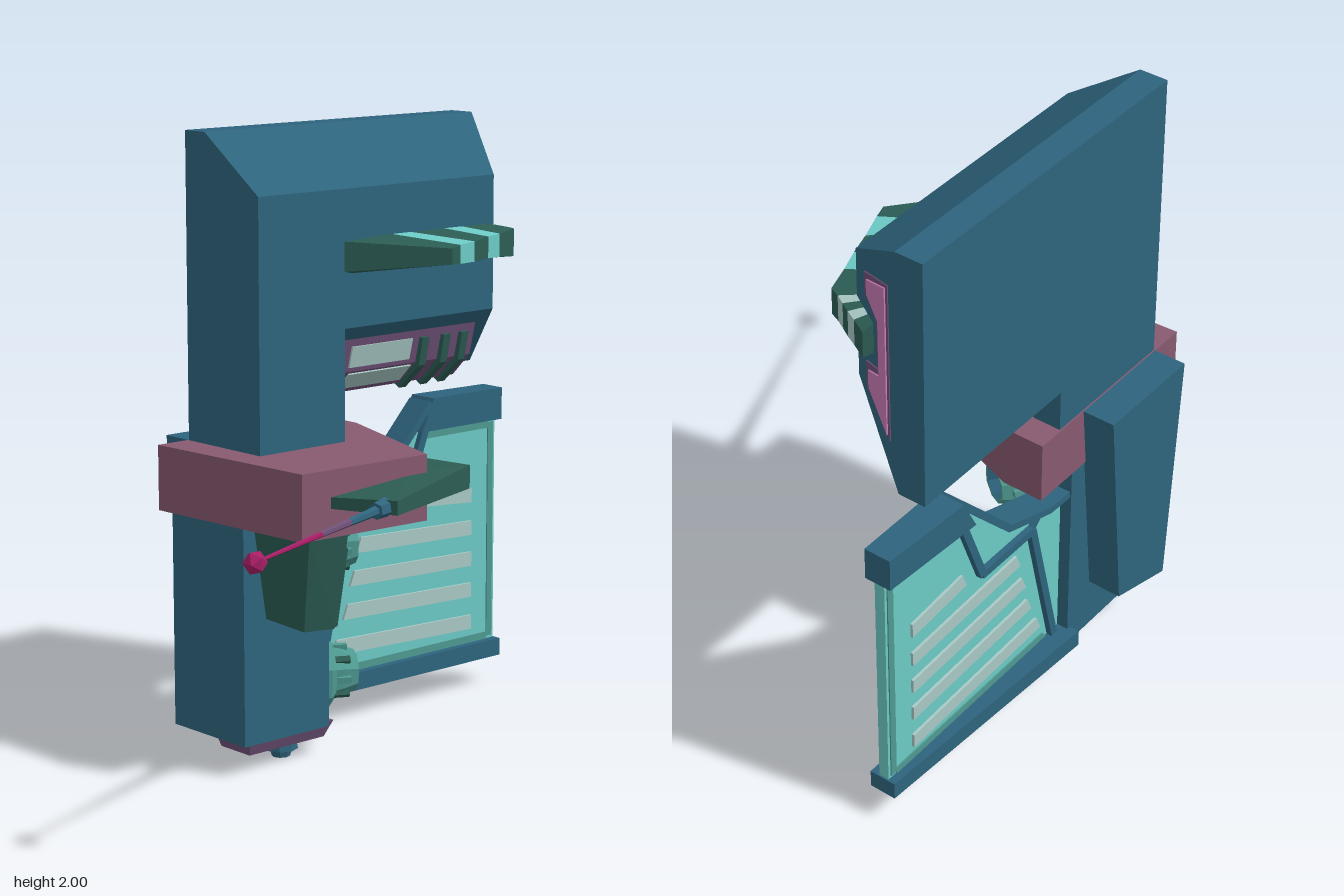
import * as THREE from 'three';

const mat = (name, color) => {
  const m = new THREE.MeshStandardMaterial({ color });
  m.name = name;
  return m;
};

export function createModel() {
  const blue = mat('steel blue', 0x2e647d), teal = mat('bright teal', 0x6ccac6);
  const slat = mat('pale slat', 0xa9c9c5), rose = mat('dusty rose', 0x885a70);
  const plum = mat('plum', 0x6e5078), pink = mat('pink', 0xc97ab5);
  const green = mat('dark green', 0x2c5d54), magenta = mat('magenta', 0xa81e66);
  const seaGreen = mat('sea green', 0x4f9a92);

  const model = new THREE.Group();
  const add = (name, geo, material, parent = model) => {
    const m = new THREE.Mesh(geo, material);
    m.name = name;
    parent.add(m);
    return m;
  };

  // Solid through matching cross-sections; `flat` gives the two axes used to fill the ends
  const loft = (sections, flat = [0, 1]) => {
    const tris = [], n = sections[0].length;
    const pts = sections[0].map(p => new THREE.Vector2(p[flat[0]], p[flat[1]]));
    const sign = Math.sign(THREE.ShapeUtils.area(pts));
    for (const f of THREE.ShapeUtils.triangulateShape(pts.slice(), [])) {
      const same = Math.sign(THREE.ShapeUtils.area(f.map(i => pts[i]))) === sign;
      const [a, b, c] = same ? f : [f[0], f[2], f[1]];
      const first = sections[0], last = sections[sections.length - 1];
      tris.push([first[a], first[c], first[b]], [last[a], last[b], last[c]]);
    }
    for (let s = 0; s < sections.length - 1; s++) {
      const p = sections[s], q = sections[s + 1];
      for (let i = 0; i < n; i++) {
        const j = (i + 1) % n;
        tris.push([p[i], p[j], q[j]], [p[i], q[j], q[i]]);
      }
    }
    // Turn the solid right side out
    let volume = 0;
    for (const [a, b, c] of tris) {
      volume += new THREE.Vector3(...a).dot(new THREE.Vector3(...b).cross(new THREE.Vector3(...c)));
    }
    if (volume < 0) tris.forEach(t => t.reverse());
    const g = new THREE.BufferGeometry();
    g.setAttribute('position', new THREE.Float32BufferAttribute(tris.flat(2), 3));
    g.computeVertexNormals();
    return g;
  };
  const alongZ = (poly, z0, z1) => loft([z0, z1].map(z => poly.map(([x, y]) => [x, y, z])));
  const alongY = (poly, y0, y1) => loft([y0, y1].map(y => poly.map(([x, z]) => [x, y, z])), [0, 2]);
  const alongX = (poly, x0, x1) => loft([x0, x1].map(x => poly.map(([z, y]) => [x, y, z])), [2, 1]);
  const bevelled = (front, back) => loft([
    front.map(([x, y]) => [x, y, -0.155]),
    back.map(([x, y]) => [x, y, -0.41]),
    back.map(([x, y]) => [x, y, -0.505])]);

  // Main housings with bevelled sides
  add('upperHousing', bevelled(
    [[-0.31, 1.0], [0.04, 1.0], [0.04, 1.38], [0.69, 1.38], [0.69, 1.82], [-0.31, 1.82]],
    [[-0.31, 1.0], [0.185, 1.0], [0.185, 1.16], [0.835, 1.16], [0.835, 2], [-0.31, 2]]), blue);
  add('lowerColumn', bevelled(
    [[-0.38, 0.1], [-0.03, 0.1], [-0.03, 0.83], [-0.38, 0.83]],
    [[-0.38, 0.1], [0.115, 0.1], [0.115, 0.83], [-0.38, 0.83]]), blue);
  add('backPack', alongZ([[-0.31, 1.02], [0.07, 1.02], [0, 0.28], [-0.25, 0.21]], -0.62, -0.5), blue);
  add('collar', alongY(
    [[-0.43, -0.51], [-0.395, 0.14], [0.095, 0.165], [0.28, -0.37], [0.28, -0.51]], 0.81, 1.02), rose);

  // Bracket-shaped inset on the sloping side of the upper housing
  const sidePlate = (name, poly, lift, material) => add(name, loft([-0.01, lift].map(d =>
    poly.map(([z, y]) => [0.69 + (-0.155 - z) * 0.56 + d, y, z])), [2, 1]), material);
  sidePlate('sideInsetRim', [[-0.215, 1.79], [-0.365, 1.855], [-0.365, 1.315], [-0.215, 1.39],
    [-0.215, 1.48], [-0.29, 1.51], [-0.29, 1.68], [-0.215, 1.72]], 0.006, plum);
  sidePlate('sideInset', [[-0.235, 1.78], [-0.352, 1.84], [-0.352, 1.33], [-0.235, 1.405],
    [-0.235, 1.465], [-0.305, 1.5], [-0.305, 1.69], [-0.235, 1.73]], 0.012, pink);

  // Horizontal fin in alternating bands: [outer x, outer z, inner x, inner z]
  const rim = [[0.04, -0.155, 0.05, -0.18], [0.28, 0.08, 0.2, -0.18], [0.335, 0.06, 0.23, -0.18],
    [0.43, 0.025, 0.31, -0.18], [0.52, -0.005, 0.46, -0.18], [0.6, -0.035, 0.54, -0.18],
    [0.7, -0.07, 0.65, -0.18], [0.715, -0.105, 0.66, -0.2], [0.73, -0.135, 0.67, -0.22],
    [0.745, -0.165, 0.68, -0.24], [0.76, -0.2, 0.69, -0.26], [0.785, -0.25, 0.71, -0.28]];
  const finSection = ([ox, oz, ix, iz], i) => {
    const lo = [1.56, 1.585, 1.58, 1.575, 1.575, 1.57, 1.56, 1.56, 1.555, 1.55, 1.545, 1.54][i];
    const hi = [1.655, 1.635, 1.64, 1.64, 1.645, 1.645, 1.65, 1.65, 1.645, 1.64, 1.635, 1.63][i];
    return [[ox, lo, oz], [ox, hi, oz], [ix, 1.665, iz], [ix, 1.55, iz]];
  };
  for (let i = 0; i < rim.length - 1; i++) {
    const band = i === 2 || i === 4 ? teal : i === 7 || i === 9 ? slat : green;
    add('finBand', loft([finSection(rim[i], i), finSection(rim[i + 1], i + 1)], [2, 1]), band);
  }

  // Vented lip under the upper housing
  const lip = (x0, x1, inset) => loft([x0, x1].map((x, i) => [[-0.195, 1.335], [-0.222, 1.225],
    [-0.3, 1.147], [-0.375, 1.165]].map(([z, y], k) => [x + (i === 0 && k > 1 ? inset : 0), y, z])), [2, 1]);
  add('lip', lip(0.045, 0.65, 0.07), plum);
  add('lipWindow', alongX([[-0.194, 1.31], [-0.212, 1.24], [-0.222, 1.24], [-0.204, 1.31]], 0.11, 0.37), slat);
  add('lipLowerWindow', alongX([[-0.226, 1.215], [-0.28, 1.161], [-0.285, 1.17], [-0.231, 1.224]], 0.12, 0.39), slat);
  add('lipEndWindow', alongX([[-0.212, 1.305], [-0.235, 1.23], [-0.3, 1.165], [-0.35, 1.175]], 0.645, 0.655), slat);
  for (const x of [0.42, 0.515, 0.595]) {
    add('lipTooth', alongX([[-0.185, 1.31], [-0.205, 1.215], [-0.3, 1.13], [-0.33, 1.15], [-0.23, 1.31]],
      x - 0.015, x + 0.015), green);
  }

  // Blade wrapped around the collar
  const blade = [[-0.29, 0.13], [-0.2, 0.35], [0.265, 0.18], [0.27, -0.29], [0.2, -0.29], [0.06, 0.12]];
  const low = [0.9, 0.9, 0.89, 0.905, 0.905, 0.89], high = [0.935, 0.945, 0.965, 0.945, 0.945, 0.965];
  add('collarBlade', loft([low, high].map(h => blade.map(([x, z], i) => [x, h[i], z])), [0, 2]), green);
  for (const [x, z] of [[0.185, -0.065], [0.215, -0.18]]) {
    add('collarTooth', alongX([[z - 0.035, 0.79], [z - 0.015, 0.87], [z + 0.015, 0.87], [z + 0.03, 0.79]],
      x - 0.025, x + 0.02), green);
  }

  // Antenna
  const from = new THREE.Vector3(-0.2, 0.92, 0.3), to = new THREE.Vector3(-0.95, 0.92, 0.585);
  const up = new THREE.Vector3(0, 1, 0), axis = to.clone().sub(from).normalize();
  const rod = (name, t0, t1, r0, r1, material) => {
    const a = from.clone().lerp(to, t0), b = from.clone().lerp(to, t1);
    const m = add(name, new THREE.CylinderGeometry(r1, r0, a.distanceTo(b), 6).toNonIndexed(), material);
    m.geometry.computeVertexNormals();
    m.position.copy(a.add(b).multiplyScalar(0.5));
    m.quaternion.setFromUnitVectors(up, axis);
  };
  rod('antennaSocket', 0, 0.09, 0.03, 0.026, blue);
  rod('antennaBase', 0.08, 0.3, 0.016, 0.012, blue);
  rod('antennaMiddle', 0.3, 0.52, 0.012, 0.009, plum);
  rod('antennaTip', 0.52, 1, 0.009, 0.005, magenta);
  const knob = add('antennaKnob', new THREE.IcosahedronGeometry(0.036, 0), magenta);
  knob.position.copy(to);

  // Hanging vent box on the front of the column
  add('ventBox', loft([
    [[-0.34, 0.82, -0.16], [-0.33, 0.82, 0.1], [-0.17, 0.82, 0.1], [-0.07, 0.82, -0.16]],
    [[-0.29, 0.5, -0.16], [-0.285, 0.49, 0.02], [-0.16, 0.48, 0.02], [-0.1, 0.48, -0.16]]], [0, 2]), green);
  // Points on the vent box's sloping side, k from front to back and y from bottom to top
  const ventPoint = (k, y, lift) => {
    const t = (y - 0.48) / 0.34, zf = 0.02 + 0.08 * t;
    const xf = -0.16 - 0.01 * t, xb = -0.1 + 0.03 * t;
    return [xf + (xb - xf) * k + lift, y, zf + (-0.16 - zf) * k];
  };
  const ventStrip = (name, k0, k1, y0, y1, lift, material) => add(name, loft([-0.01, lift].map(d =>
    [[k0, y0], [k1, y0], [k1, y1], [k0, y1]].map(([k, y]) => ventPoint(k, y, d))), [2, 1]), material);
  for (const k of [0.2, 0.65]) ventStrip('ventSlot', k, k + 0.17, 0.5, 0.7, 0.004, slat);
  for (const k of [0.08, 0.44, 0.86]) ventStrip('ventRib', k, k + 0.12, 0.48, 0.74, 0.02, green);

  // Round thrusters and a lamp on the column's sloping side
  const faceted = (profile, sides) => {
    const g = new THREE.LatheGeometry(profile.map(p => new THREE.Vector2(...p)), sides).toNonIndexed();
    g.computeVertexNormals();
    return g;
  };
  const outward = new THREE.Vector3(0.877, 0, 0.48);
  const mount = (name, y, z) => {
    const g = new THREE.Group();
    g.name = name;
    g.position.set(-0.03 + (-0.155 - z) * 0.57, y, z);
    g.quaternion.setFromUnitVectors(up, outward);
    model.add(g);
    return g;
  };
  for (const y of [0.66, 0.235]) {
    const g = mount('thruster', y, -0.3);
    add('thrusterFlange', faceted([[0.13, -0.01], [0.125, 0.02], [0.1, 0.04], [0.088, 0.04]], 8), seaGreen, g);
    add('thrusterBell', faceted([[0.095, 0.03], [0.085, 0.07], [0.066, 0.12], [0.055, 0.12]], 8), seaGreen, g);
    add('thrusterThroat', faceted([[0.056, 0.12], [0.025, 0.05], [0, 0.05]], 8), blue, g);
    for (let i = 0; i < 8; i++) {
      const a = (i + 0.5) * Math.PI / 4;
      const fin = add('thrusterFin', new THREE.BoxGeometry(0.02, 0.06, 0.02), i % 2 ? green : seaGreen, g);
      fin.position.set(Math.cos(a) * 0.082, 0.06, Math.sin(a) * 0.082);
      fin.rotation.y = -a;
    }
  }
  const lamp = mount('lamp', 0.455, -0.3);
  add('lampRing', faceted([[0.068, -0.01], [0.06, 0.02], [0.035, 0.035], [0, 0.035]], 6), plum, lamp);
  add('lampLens', faceted([[0.032, 0.03], [0.025, 0.042], [0, 0.042]], 6), pink, lamp);

  // Foot under the column
  const rect = (x0, x1, z0, z1, y) => [[x0, y, z0], [x1, y, z0], [x1, y, z1], [x0, y, z1]];
  add('foot', loft([rect(-0.335, 0.015, -0.365, -0.185, 0.105), rect(-0.32, -0.01, -0.345, -0.205, 0.05)], [0, 2]), plum);
  const nozzle = add('footNozzle', faceted([[0, 0], [0.03, 0], [0.035, 0.02], [0.055, 0.025], [0.05, 0.055]], 8), blue);
  nozzle.position.set(-0.14, 0, -0.265);

  // Side wing: plate, frame and slats
  add('wingPlate', alongZ([[0.1, 0.13], [0.975, 0.13], [0.975, 1.0], [0.64, 1.0], [0.42, 0.785],
    [0.2, 0.715], [0.1, 0.72]], -0.465, -0.43), teal);
  const bar = (name, poly) => add(name, loft([poly.map(([x, y]) => [x, y, -0.4]),
    poly.map(([x, y]) => [x, y, -0.545 + 0.055 * x])]), blue);
  bar('wingBottomBar', [[0.1, 0.1], [0.98, 0.1], [0.98, 0.16], [0.1, 0.16]]);
  bar('wingTopBar', [[0.605, 0.94], [0.98, 0.94], [0.98, 1.05], [0.66, 1.05]]);
  const strip = (name, path, w, z0, z1) => {
    for (let i = 0; i < path.length - 1; i++) {
      const [ax, ay] = path[i], [bx, by] = path[i + 1], l = Math.hypot(bx - ax, by - ay);
      const nx = -(by - ay) / l * w, ny = (bx - ax) / l * w;
      add(name, alongZ([[ax - nx, ay - ny], [bx - nx, by - ny], [bx + nx, by + ny], [ax + nx, ay + ny]], z0, z1), blue);
    }
  };
  strip('wingInnerStrip', [[0.155, 0.15], [0.28, 0.675], [0.53, 0.675], [0.635, 0.95]], 0.014, -0.485, -0.41);
  strip('wingOuterEdge', [[0.1, 0.715], [0.21, 0.72], [0.42, 0.79], [0.65, 1.035]], 0.012, -0.5, -0.4);
  strip('wingLink', [[0.22, 0.73], [0.28, 0.675]], 0.012, -0.48, -0.415);
  for (const [x, y] of [[0.22, 0.25], [0.27, 0.365], [0.3, 0.475], [0.33, 0.585], [0.6, 0.7]]) {
    add('wingSlat', alongZ([[x, y - 0.02], [0.86, y - 0.04], [0.86, y + 0.01], [x + 0.02, y + 0.03]], -0.474, -0.421), slat);
  }
  // Slim border around the slat field
  add('wingSideBorder', alongZ([[0.94, 0.17], [0.965, 0.17], [0.965, 0.93], [0.94, 0.93]], -0.469, -0.426), seaGreen);
  add('wingLowBorder', alongZ([[0.18, 0.16], [0.94, 0.16], [0.94, 0.185], [0.2, 0.185]], -0.469, -0.426), seaGreen);
  add('wingHighBorder', alongZ([[0.65, 0.91], [0.94, 0.91], [0.94, 0.94], [0.66, 0.94]], -0.469, -0.426), seaGreen);
  return model;
}
